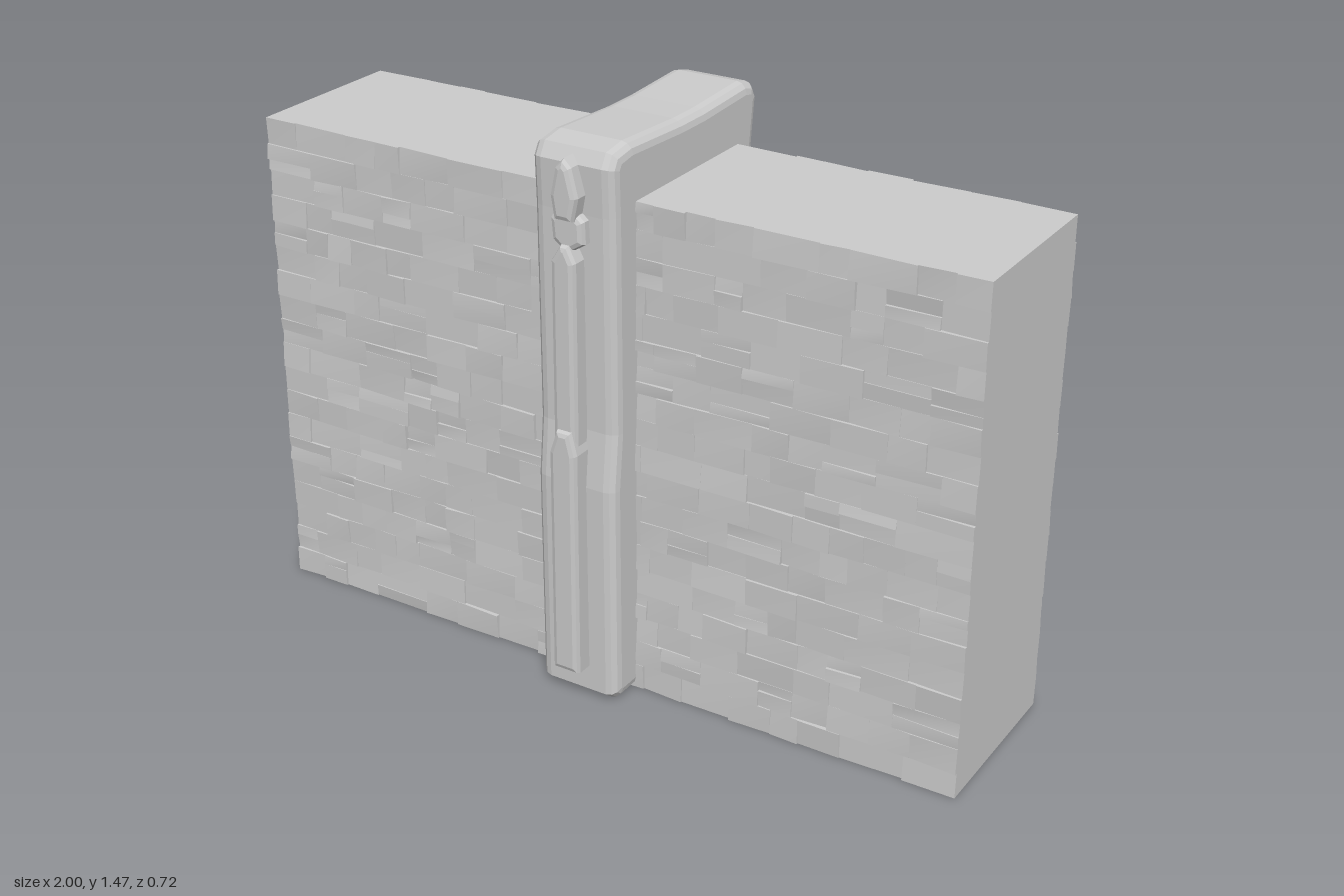
import * as THREE from 'three';
import { mergeGeometries } from 'three/addons/utils/BufferGeometryUtils.js';

const material = new THREE.MeshStandardMaterial({ color: 0xcccccc });
const WIDTH = 2, HEIGHT = 1.32, FRONT = 0.2, BACK = -0.253;

function seeded(seed) {
  return () => {
    seed = (seed * 1664525 + 1013904223) % 4294967296;
    return seed / 4294967296;
  };
}

function addMesh(group, name, geometry) {
  const mesh = new THREE.Mesh(geometry, material);
  mesh.name = name;
  group.add(mesh);
  return mesh;
}

// Thin block whose four outer corners stand out by different amounts
function stone(x0, x1, y0, y1, rand) {
  const g = new THREE.BoxGeometry(x1 - x0, y1 - y0, 1);
  const p = g.attributes.position;
  const base = 0.003 + rand() * 0.008;
  const corners = [0, 1, 2, 3].map(() => base + (rand() - 0.5) * 0.008);
  for (let i = 0; i < p.count; i++) {
    const corner = (p.getX(i) > 0 ? 1 : 0) + (p.getY(i) > 0 ? 2 : 0);
    p.setZ(i, p.getZ(i) > 0 ? Math.max(0.001, corners[corner]) : 0);
  }
  g.computeVertexNormals();
  return g.translate((x0 + x1) / 2, (y0 + y1) / 2, 0);
}

// Irregular courses of stones covering one face of the wall
function stoneFace(seed) {
  const rand = seeded(seed);
  const stones = [];
  const rows = 19, h = HEIGHT / rows;
  for (let r = 0; r < rows; r++) {
    let x = -WIDTH / 2;
    while (x < WIDTH / 2 - 0.001) {
      let next = x + 0.07 + rand() * 0.1;
      if (next > WIDTH / 2 - 0.06) next = WIDTH / 2;
      // some stones are split into two thinner ones
      if (rand() < 0.15) {
        const mid = (r + 0.35 + rand() * 0.3) * h;
        stones.push(stone(x, next, r * h, mid, rand), stone(x, next, mid, (r + 1) * h, rand));
      } else {
        stones.push(stone(x, next, r * h, (r + 1) * h, rand));
      }
      x = next;
    }
  }
  return mergeGeometries(stones);
}

// Outline extruded with its edges rounded inward, centred on its depth
function bevelled(points, depth, bevel, segments = 3) {
  const shape = new THREE.Shape(points.map(([x, y]) => new THREE.Vector2(x, y)));
  const g = new THREE.ExtrudeGeometry(shape, {
    depth: depth - 2 * bevel, bevelEnabled: true, bevelSize: bevel,
    bevelOffset: -bevel, bevelThickness: bevel, bevelSegments: segments,
  });
  return g.translate(0, 0, bevel - depth / 2);
}

export function createModel() {
  const model = new THREE.Group();
  model.name = 'stoneWall';

  // Wall core and its stone facings
  const core = new THREE.BoxGeometry(WIDTH, HEIGHT, FRONT - BACK);
  addMesh(model, 'wallCore', core.translate(0, HEIGHT / 2, (FRONT + BACK) / 2));
  addMesh(model, 'frontStones', stoneFace(7)).position.z = FRONT;
  const backStones = addMesh(model, 'backStones', stoneFace(23));
  backStones.rotation.y = Math.PI;
  backStones.position.z = BACK;

  // Pillar band wrapped over the wall, outlined in side profile
  const profile = [
    [-0.33, 0], [0.28, 0], [0.305, 0.02], [0.31, 0.6], [0.295, 0.75], [0.3, 1.3],
    [0.305, 1.42], [0.285, 1.455], [0.22, 1.465], [0, 1.455], [-0.1, 1.455],
    [-0.3, 1.465], [-0.34, 1.455], [-0.36, 1.42], [-0.345, 1.3],
    [-0.345, 0.7], [-0.355, 0.6], [-0.355, 0.02],
  ];
  addMesh(model, 'pillar', bevelled(profile, 0.226, 0.03).rotateY(-Math.PI / 2));

  // Raised strips and ornament down the front of the pillar
  const strips = [
    ['lowerStrip', [[-0.04, 0.09], [0.035, 0.09], [0.035, 0.7], [0.02, 0.76], [-0.02, 0.76], [-0.04, 0.7]], 0.36],
    ['upperStrip', [[-0.035, 0.6], [0.03, 0.6], [0.03, 1.19], [0.01, 1.23], [-0.01, 1.23], [-0.035, 1.19]], 0.346],
    ['hexBoss', [[0, 1.205], [0.047, 1.235], [0.045, 1.29], [0.02, 1.31], [-0.02, 1.31], [-0.045, 1.29], [-0.04, 1.235]], 0.33],
    ['topKnob', [[-0.025, 1.29], [0.025, 1.29], [0.038, 1.35], [0.02, 1.42], [0, 1.44], [-0.02, 1.42], [-0.035, 1.35]], 0.345],
  ];
  for (const [name, outline, front] of strips) {
    const depth = front - 0.27;
    addMesh(model, name, bevelled(outline, depth, 0.014, 2)).position.z = front - depth / 2;
  }

  return model;
}
